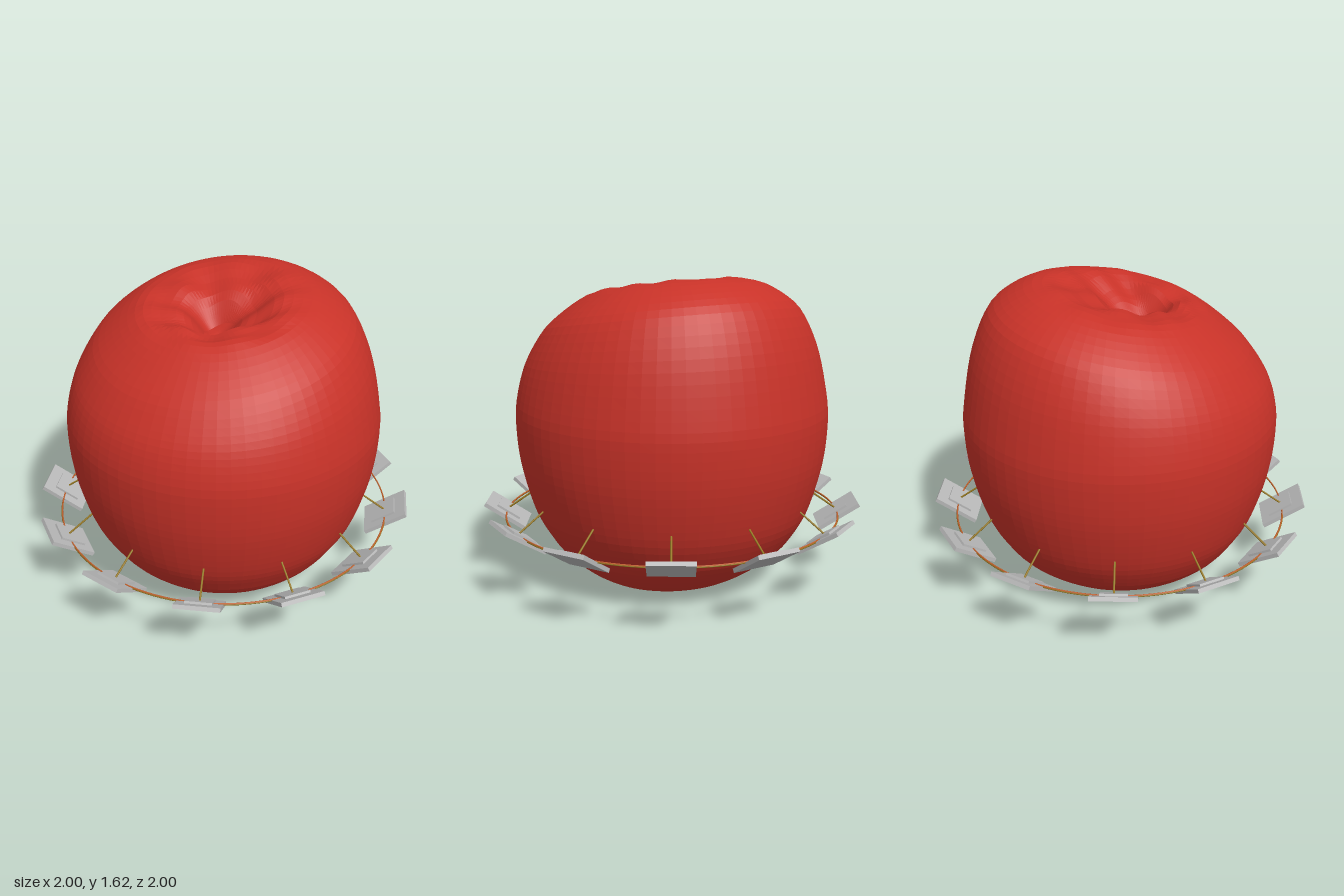
import * as THREE from 'three';

const red = new THREE.MeshStandardMaterial({ name: 'apple red', color: 0xc83228, flatShading: true });
const grey = new THREE.MeshStandardMaterial({ name: 'plate grey', color: 0xbababa });
const copper = new THREE.MeshStandardMaterial({ name: 'copper', color: 0xc0602c });
const brass = new THREE.MeshStandardMaterial({ name: 'brass', color: 0x94761f });

const RING_R = 0.89, RING_Y = 0.362, TILT = 0.565;

function add(parent, name, geometry, material) {
  const mesh = new THREE.Mesh(geometry, material);
  mesh.name = name;
  parent.add(mesh);
  return mesh;
}

// Apple body: lathed profile, then a leaning crown, off-centre pit and creases
function appleGeometry() {
  const profile = [
    [0, 0.1], [0.1, 0.08], [0.22, 0.03], [0.33, 0.022], [0.46, 0.085], [0.59, 0.19], [0.66, 0.28],
    [0.735, 0.42], [0.8, 0.66], [0.82, 0.88], [0.808, 1.02], [0.76, 1.21], [0.68, 1.37], [0.6, 1.455],
    [0.47, 1.54], [0.37, 1.565], [0.25, 1.545], [0.14, 1.48], [0.07, 1.41], [0, 1.38],
  ].map(([r, y]) => new THREE.Vector2(r, y));
  const points = new THREE.SplineCurve(profile).getSpacedPoints(60);
  points.forEach((p) => { p.x = Math.max(p.x, 0); });
  points[0].x = points[60].x = 0;
  const geo = new THREE.LatheGeometry(points, 72);
  const pos = geo.attributes.position;
  for (let i = 0; i < pos.count; i++) {
    let x = pos.getX(i), y = pos.getY(i), z = pos.getZ(i);
    const r = Math.hypot(x, z);
    const top = THREE.MathUtils.smoothstep(y, 0.95, 1.5);
    const low = 1 - THREE.MathUtils.smoothstep(y, 0, 0.3);
    const inner = 1 - THREE.MathUtils.smoothstep(r, 0.12, 0.5);
    y += top * (0.15 * x - 0.09 * z) - low * 0.03 * z;
    if (y > 1.2) {
      // Irregular puckering round the stem pit
      y += inner * 0.014 * (Math.sin(23 * x + 9 * z) + Math.sin(31 * z - 14 * x + 1)) * Math.min(1, r / 0.08);
      x -= 0.04 * inner;
      z += 0.05 * inner;
    }
    pos.setXYZ(i, x, y, z);
  }
  geo.computeVertexNormals();
  return geo;
}

// Thin rod between two points in the x = 0 plane
function rod(parent, name, y0, z0, y1, z1, radius, material) {
  const path = new THREE.LineCurve3(new THREE.Vector3(0, y0, z0), new THREE.Vector3(0, y1, z1));
  return add(parent, name, new THREE.TubeGeometry(path, 1, radius, 8), material);
}

export function createModel() {
  const model = new THREE.Group();
  model.name = 'apple with plate ring';

  add(model, 'apple', appleGeometry(), red);

  // Two thin wire hoops lying against each other
  [['outerHoop', RING_R, RING_Y, brass], ['innerHoop', RING_R - 0.002, RING_Y + 0.004, copper]].forEach(([name, r, y, mat]) => {
    const hoop = add(model, name, new THREE.TorusGeometry(r, 0.004, 8, 120), mat);
    hoop.rotation.x = Math.PI / 2;
    hoop.position.y = y;
  });

  // Twelve tilted plates, each with a pad and a pin into the apple
  const plateGeo = new THREE.BoxGeometry(0.23, 0.021, 0.245);
  const padGeo = new THREE.BoxGeometry(0.136, 0.012, 0.138);
  for (let i = 0; i < 12; i++) {
    const unit = new THREE.Group();
    unit.name = 'plateUnit' + (i + 1);
    unit.rotation.y = (i * Math.PI) / 6;
    const tilted = new THREE.Group();
    tilted.name = 'tiltedPlate';
    tilted.position.set(0, 0.356, RING_R);
    tilted.rotation.x = -TILT;
    add(tilted, 'plate', plateGeo, grey);
    add(tilted, 'pad', padGeo, grey).position.set(0, 0.016, -0.006);
    unit.add(tilted);
    rod(unit, 'pin', 0.367, 0.89, 0.488, 0.715, 0.005, brass);
    model.add(unit);
  }
  return model;
}
